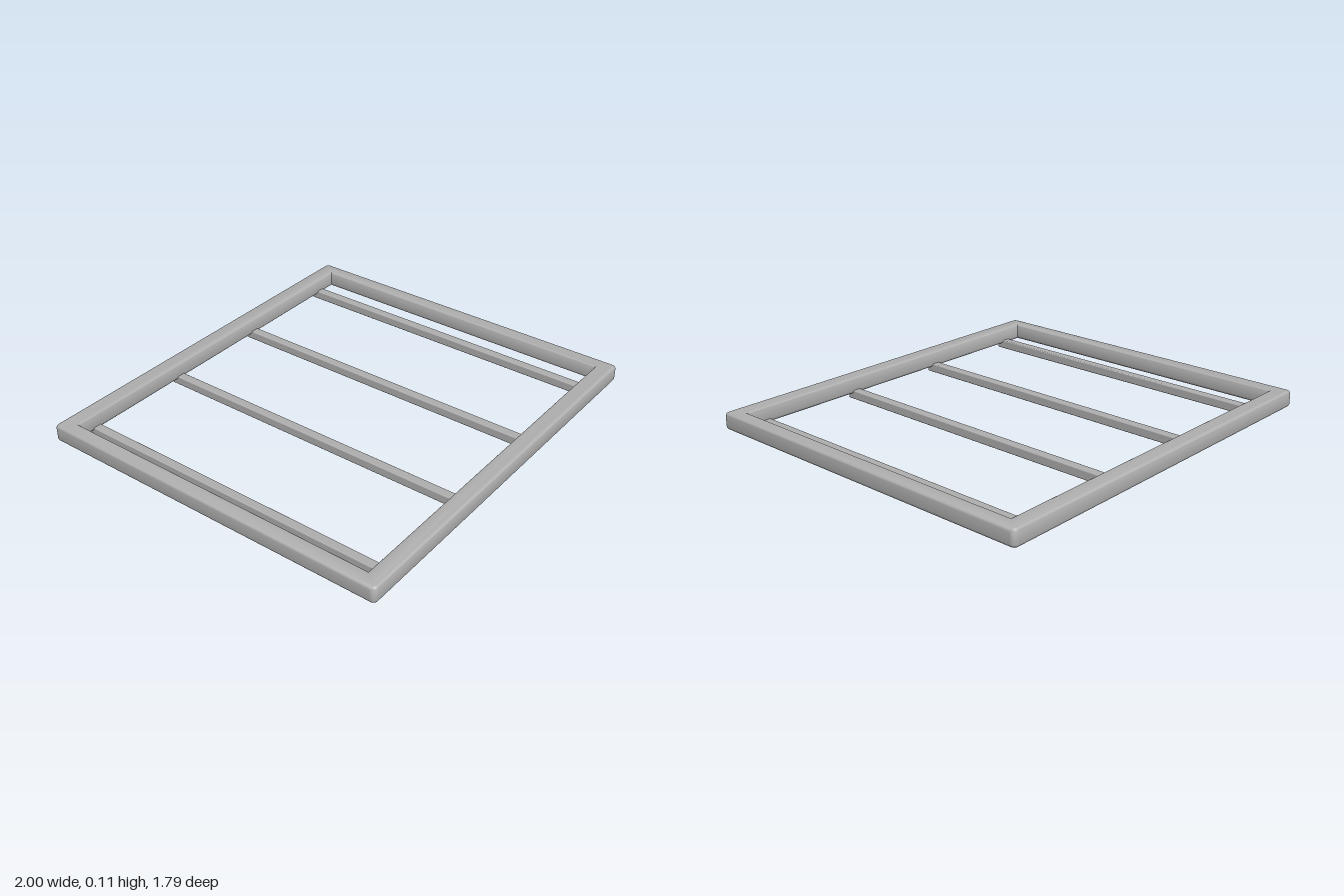
import * as THREE from 'three';
import { toCreasedNormals } from 'three/addons/utils/BufferGeometryUtils.js';
import { RoundedBoxGeometry } from 'three/addons/geometries/RoundedBoxGeometry.js';

// Rectangle outline with small rounded corners
function roundedRect(path, hx, hz, r) {
  path.moveTo(hx, -hz + r);
  path.lineTo(hx, hz - r);
  path.absarc(hx - r, hz - r, r, 0, Math.PI / 2);
  path.lineTo(-hx + r, hz);
  path.absarc(-hx + r, hz - r, r, Math.PI / 2, Math.PI);
  path.lineTo(-hx, -hz + r);
  path.absarc(-hx + r, -hz + r, r, Math.PI, Math.PI * 1.5);
  path.lineTo(hx - r, -hz);
  path.absarc(hx - r, -hz + r, r, Math.PI * 1.5, Math.PI * 2);
  return path;
}

// Rectangle outline with square corners
function rect(path, hx, hz) {
  path.moveTo(hx, -hz);
  path.lineTo(hx, hz);
  path.lineTo(-hx, hz);
  path.lineTo(-hx, -hz);
  path.closePath();
  return path;
}

export function createModel() {
  const model = new THREE.Group();
  model.name = 'slattedFrame';
  const grey = new THREE.MeshStandardMaterial({ color: 0xb0b0b0 });
  grey.name = 'grey';

  // Outer frame: one rectangular ring with rounded edges
  const bevel = 0.016, bottom = 0.027, top = 0.109;
  const outline = roundedRect(new THREE.Shape(), 1 - bevel, 0.894 - bevel, 0.008);
  outline.holes.push(rect(new THREE.Path(), 0.925 + bevel, 0.808 + bevel));
  const ring = new THREE.ExtrudeGeometry(outline, {
    depth: top - bottom - 2 * bevel,
    bevelEnabled: true,
    bevelSize: bevel,
    bevelThickness: bevel,
    bevelSegments: 4,
    curveSegments: 4,
  });
  ring.rotateX(-Math.PI / 2);
  ring.translate(0, bottom + bevel, 0);
  const frame = new THREE.Mesh(toCreasedNormals(ring, 0.7), grey);
  frame.name = 'outerFrame';
  model.add(frame);

  // Four slim rails running front to back under the frame
  const size = 0.045;
  const railGeometry = new RoundedBoxGeometry(size, size, 1.69, 3, 0.006);
  [-0.825, -0.275, 0.275, 0.825].forEach((x, i) => {
    const rail = new THREE.Mesh(railGeometry, grey);
    rail.name = `rail${i + 1}`;
    rail.position.set(x, size / 2, 0);
    model.add(rail);
  });

  return model;
}
